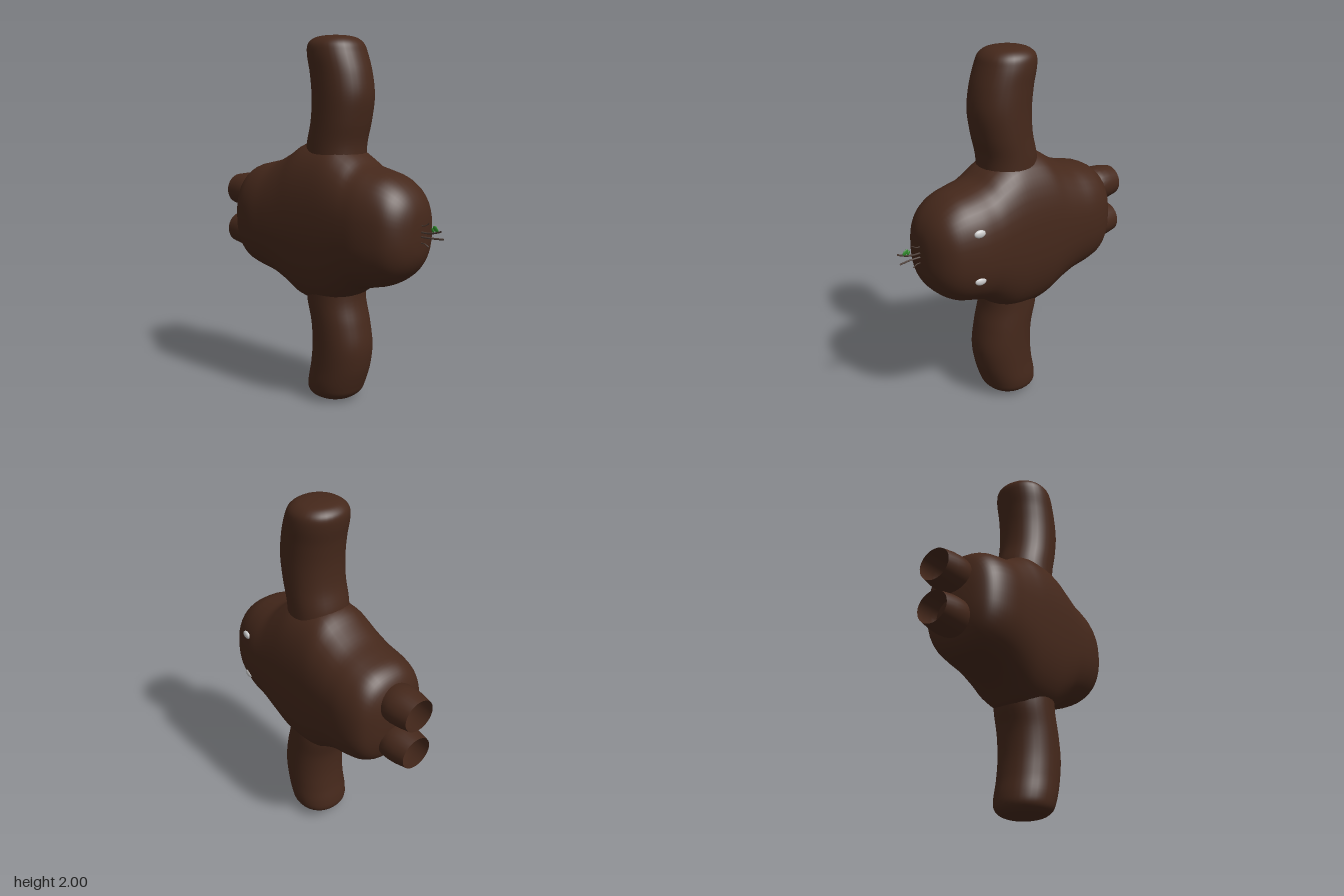
import * as THREE from 'three';

const mat = (color) => new THREE.MeshStandardMaterial({ color, side: THREE.DoubleSide });

// Smooth a few [along, a, b, shift] stations into many
function smooth(stations, steps) {
  const a = new THREE.CatmullRomCurve3(stations.map((s) => new THREE.Vector3(s[0], s[1], s[2])));
  const b = new THREE.CatmullRomCurve3(stations.map((s) => new THREE.Vector3(s[3] || 0, 0, 0)), false, 'catmullrom');
  return Array.from({ length: steps + 1 }, (_, i) => {
    const p = a.getPoint(i / steps);
    return [p.x, Math.max(p.y, 0.0005), Math.max(p.z, 0.0005), b.getPoint(i / steps).x];
  });
}

// Loft along +z: half width a (x), half height b (y), y shift; superellipse of power n
function loft(rings, n, sides = 40) {
  const pos = [], idx = [];
  for (const [z, a, b, shift] of rings) {
    for (let j = 0; j < sides; j++) {
      const t = (j / sides) * Math.PI * 2, c = Math.cos(t), s = Math.sin(t);
      pos.push(a * Math.sign(c) * Math.abs(c) ** (2 / n), shift + b * Math.sign(s) * Math.abs(s) ** (2 / n), z);
    }
  }
  for (let i = 0; i < rings.length - 1; i++) {
    for (let j = 0; j < sides; j++) {
      const p = i * sides + j, q = i * sides + (j + 1) % sides;
      idx.push(p, q, q + sides, p, q + sides, p + sides);
    }
  }
  const g = new THREE.BufferGeometry();
  g.setAttribute('position', new THREE.Float32BufferAttribute(pos, 3));
  g.setIndex(idx);
  g.computeVertexNormals();
  return g;
}

export function createModel() {
  const group = new THREE.Group();
  const bark = mat(0x45281b), twigMat = mat(0x4a3a32), leafMat = mat(0x2f8a2a), eyeMat = mat(0xd8d8d8);
  const add = (name, geometry, material, x = 0, y = 0, z = 0) => {
    const m = new THREE.Mesh(geometry, material);
    m.name = name;
    m.position.set(x, y, z);
    group.add(m);
    return m;
  };

  // Body: rounded slab running from the rump to the face
  const bodyRings = smooth([
    [-0.59, 0, 0], [-0.58, 0.08, 0.10], [-0.562, 0.15, 0.18], [-0.53, 0.205, 0.245], [-0.48, 0.235, 0.283],
    [-0.4, 0.253, 0.305], [-0.3, 0.255, 0.33], [-0.2, 0.255, 0.38], [-0.11, 0.255, 0.435], [0, 0.255, 0.45],
    [0.1, 0.255, 0.44], [0.2, 0.255, 0.383], [0.27, 0.255, 0.335], [0.35, 0.253, 0.312], [0.44, 0.235, 0.288],
    [0.51, 0.208, 0.245], [0.56, 0.16, 0.19], [0.59, 0.095, 0.125], [0.6, 0.045, 0.06], [0.602, 0, 0],
  ], 76);
  add('body', loft(bodyRings, 2.4), bark, 0, 1, 0);

  // Arms: bent rounded stubs above and below, mirrored about y = 1
  const armRings = smooth([
    [0.25, 0.16, 0.165, 0.04], [0.42, 0.16, 0.16, 0.045], [0.55, 0.16, 0.16, 0.075], [0.68, 0.16, 0.167, 0.088],
    [0.8, 0.16, 0.165, 0.075], [0.9, 0.16, 0.158, 0.05], [0.95, 0.15, 0.147, 0.04], [0.98, 0.12, 0.118, 0.037],
    [0.995, 0.07, 0.07, 0.036], [1, 0, 0, 0.036],
  ], 48);
  for (const [name, side] of [['upperArm', 1], ['lowerArm', -1]]) {
    const g = loft(armRings.map(([h, a, b, s]) => [h, a, b, -side * s]), 2.15, 32);
    g.rotateX(-side * Math.PI / 2);
    add(name, g, bark, 0, 1, 0);
  }

  // Legs: hollow stubs, open at the back
  const legProfile = [[0.09, 0], [0.104, 0.05], [0.106, 0.09], [0.102, 0.14], [0.09, 0.205]];
  for (const [name, y] of [['upperLeg', 1.118], ['lowerLeg', 0.882]]) {
    const g = new THREE.LatheGeometry(legProfile.map(([r, h]) => new THREE.Vector2(r, h)), 28);
    g.rotateX(-Math.PI / 2);
    g.scale(1.04, 0.97, 1);
    add(name, g, bark, 0, y, -0.52);
  }

  // Eyes: flattened beads on the left flank
  for (const [name, y] of [['upperEye', 1.137], ['lowerEye', 0.875]]) {
    const eye = add(name, new THREE.SphereGeometry(1, 20, 14), eyeMat, 0.232, y, 0.39);
    eye.scale.set(0.013, 0.021, 0.032);
    eye.rotation.y = -0.12;
  }

  // Nose: little twigs with a leaf pair
  const twig = (name, pts, r) => add(name, new THREE.TubeGeometry(
    new THREE.CatmullRomCurve3(pts.map((p) => new THREE.Vector3(...p))), 12, r, 6), twigMat);
  twig('straightTwig', [[0, 0.987, 0.57], [0, 0.987, 0.66], [0.012, 0.987, 0.725]], 0.005);
  twig('bentTwig', [[0, 1.012, 0.57], [0, 1.01, 0.64], [-0.004, 1.016, 0.68], [-0.014, 1.03, 0.725]], 0.005);
  for (const s of [1, -1]) {
    twig('whisker', [[0, 1 + s * 0.046, 0.585], [0, 1 + s * 0.046, 0.62], [0, 1 + s * 0.06, 0.645]], 0.003);
  }
  for (const [y, z, tilt, size] of [[1.037, 0.685, 0.7, 0.02], [1.03, 0.668, 1.1, 0.013]]) {
    const leaf = add('leaf', new THREE.SphereGeometry(1, 10, 8), leafMat, 0, y, z);
    leaf.scale.set(0.004, size * 0.6, size);
    leaf.rotation.x = tilt;
  }
  return group;
}
